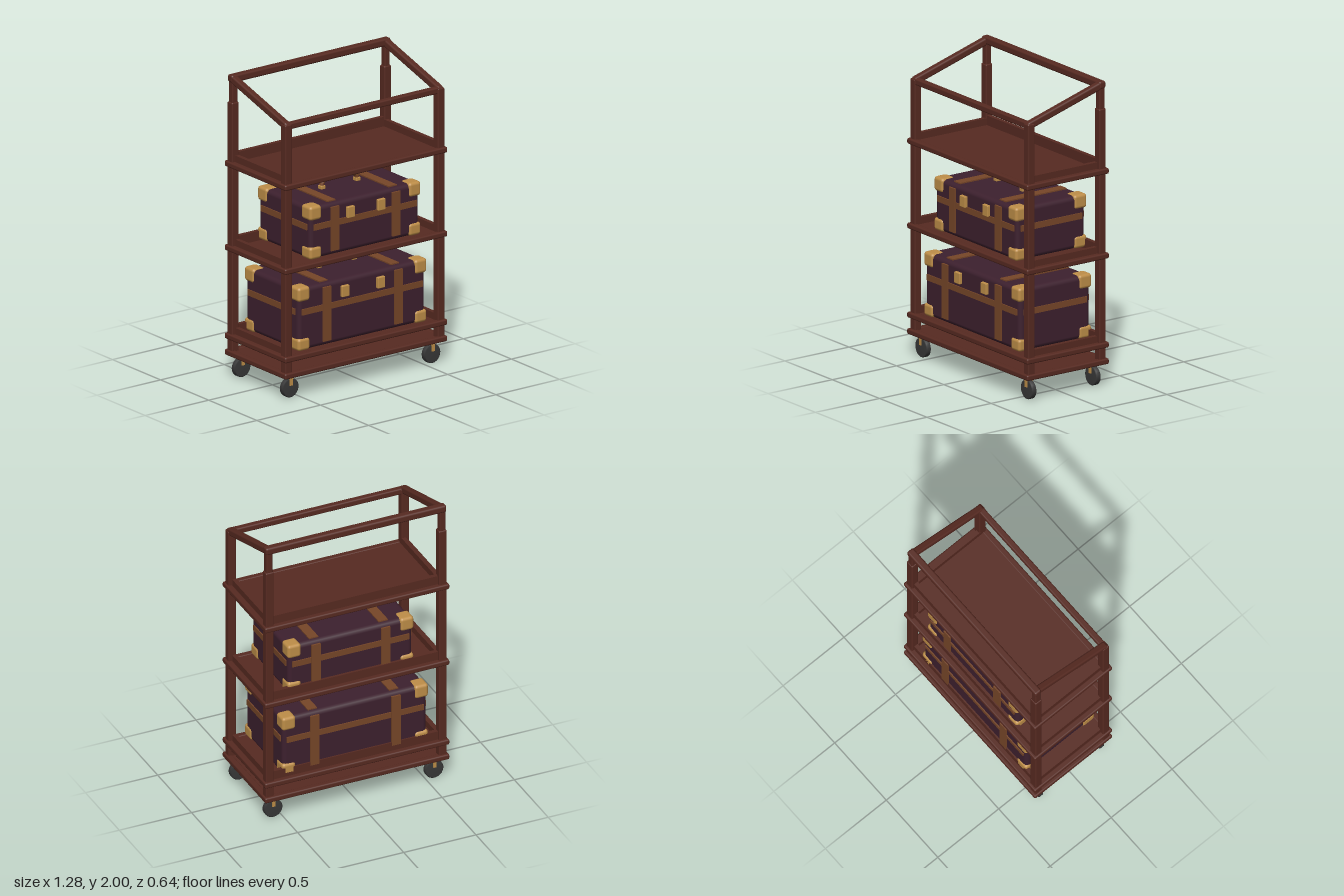
import * as THREE from 'three';
import { RoundedBoxGeometry } from 'three/addons/geometries/RoundedBoxGeometry.js';

const mat = (name, color) => {
  const m = new THREE.MeshStandardMaterial({ color });
  m.name = name;
  return m;
};

export function createModel() {
  const wood = mat('mahogany', 0x572a21);
  const hide = mat('plum leather', 0x3d202e);
  const strapMat = mat('tan strap', 0x774628);
  const brass = mat('brass', 0xbe8e48);
  const rubber = mat('rubber', 0x383838);

  const model = new THREE.Group();
  model.name = 'luggageTrolley';

  const add = (parent, name, geo, material, x = 0, y = 0, z = 0) => {
    const m = new THREE.Mesh(geo, material);
    m.name = name;
    m.position.set(x, y, z);
    parent.add(m);
    return m;
  };
  const box = (parent, name, material, w, h, d, x, y, z, r = 0) =>
    add(parent, name, r ? new RoundedBoxGeometry(w, h, d, 2, r) : new THREE.BoxGeometry(w, h, d), material, x, y, z);

  // Corner posts: short at the front, tall with a slimmer top at the back
  for (const s of [-1, 1]) {
    box(model, 'frontPost', wood, 0.054, 1.67, 0.052, s * 0.599, 0.985, 0.277, 0.008);
    box(model, 'backPost', wood, 0.054, 1.67, 0.052, s * 0.599, 0.985, -0.277, 0.008);
    box(model, 'backPostTop', wood, 0.042, 0.18, 0.042, s * 0.599, 1.89, -0.277, 0.008);
    // Sloping side rail
    const rail = box(model, 'slopingRail', wood, 0.046, 0.048, 0.605, s * 0.599, 1.891, 0, 0.012);
    rail.rotation.x = Math.atan2(0.165, 0.56);
  }
  box(model, 'topBackRail', wood, 1.25, 0.05, 0.05, 0, 1.975, -0.278, 0.013);
  box(model, 'topFrontRail', wood, 1.24, 0.042, 0.042, 0, 1.806, 0.278, 0.01);

  // Shelves: panel, edge rails and low lips at the back and sides
  const shelf = (y, lip) => {
    const g = new THREE.Group();
    g.name = 'shelf';
    g.position.y = y;
    model.add(g);
    box(g, 'panel', wood, 1.23, 0.028, 0.59, 0, 0, 0);
    for (const s of [-1, 1]) {
      box(g, 'longRail', wood, 1.276, 0.037, 0.042, 0, 0, s * 0.298, 0.01);
      box(g, 'endRail', wood, 0.042, 0.037, 0.638, s * 0.617, 0, 0, 0.01);
      if (lip) box(g, 'sideLip', wood, 0.028, 0.05, 0.52, s * 0.586, 0.034, 0);
    }
    if (lip) box(g, 'backLip', wood, 1.16, 0.07, 0.028, 0, 0.042, -0.271);
  };
  shelf(0.163, false);
  [0.271, 0.855, 1.41].forEach((y) => shelf(y, true));

  // Casters
  const wheelShape = [[0, -0.018], [0.056, -0.018], [0.063, -0.014], [0.063, 0.014], [0.056, 0.018], [0, 0.018]]
    .map(([r, y]) => new THREE.Vector2(r, y));
  for (const sx of [-1, 1]) for (const sz of [-1, 1]) {
    const c = new THREE.Group();
    c.name = 'caster';
    c.position.set(sx * 0.557, 0, sz * 0.25);
    model.add(c);
    add(c, 'wheel', new THREE.LatheGeometry(wheelShape, 20), rubber, 0, 0.064, 0).rotation.x = Math.PI / 2;
    add(c, 'swivelPlate', new THREE.CylinderGeometry(0.034, 0.034, 0.016, 16), brass, 0, 0.139, 0);
    box(c, 'forkTop', brass, 0.026, 0.012, 0.052, 0, 0.129, 0);
    for (const s of [-1, 1]) box(c, 'forkArm', brass, 0.022, 0.05, 0.006, 0, 0.106, s * 0.022);
  }

  // Suitcases: origin at the bottom centre
  const suitcase = ({ x, y, w, h, d, strapX, latchX, latchY, belt }) => {
    const g = new THREE.Group();
    g.name = 'suitcase';
    g.position.set(x, y, 0);
    model.add(g);
    box(g, 'caseBody', hide, w, h, d, 0, h / 2, 0, 0.03);
    for (const s of [-1, 1]) {
      // Belt lengths on each face, stopping short of the rounded edges
      box(g, 'longBelt', strapMat, w - 0.05, 0.04, 0.012, 0, belt, s * (d / 2 + 0.001));
      box(g, 'endBelt', strapMat, 0.012, 0.04, d - 0.06, s * (w / 2 + 0.001), belt, 0);
      // Vertical straps on the front and back, with a length across the top
      for (const t of [-1, 1])
        box(g, 'strap', strapMat, 0.062, h - 0.055, 0.016, t * strapX, h / 2 + 0.003, s * (d / 2 + 0.003));
      box(g, 'strapTop', strapMat, 0.064, 0.014, d - 0.06, s * strapX, h + 0.001, 0);
      // Latches
      box(g, 'latch', brass, 0.058, 0.074, 0.026, s * latchX, latchY, d / 2 + 0.007, 0.005);
      // Handle mounts
      box(g, 'handleMount', brass, 0.034, 0.024, 0.038, s * 0.138, h + 0.01, 0, 0.004);
    }
    // Brass corner caps
    for (const sx of [-1, 1]) for (const sz of [-1, 1]) {
      const cx = sx * (w / 2 - 0.04), cz = sz * (d / 2 - 0.04);
      box(g, 'topCorner', brass, 0.094, 0.094, 0.1, cx, h - 0.04, cz, 0.02);
      box(g, 'bottomCorner', brass, 0.094, 0.082, 0.1, cx, 0.042, cz, 0.02);
    }
    // Arched handle
    const pts = [];
    for (let i = 0; i <= 12; i++) {
      const a = Math.PI * (1 - i / 12);
      pts.push(new THREE.Vector3(Math.cos(a) * 0.138, h + 0.02 + Math.sin(a) * 0.064, 0));
    }
    add(g, 'handle', new THREE.TubeGeometry(new THREE.CatmullRomCurve3(pts), 32, 0.015, 10), strapMat);
  };
  suitcase({ x: -0.003, y: 0.293, w: 0.998, h: 0.413, d: 0.55, strapX: 0.281, latchX: 0.14, latchY: 0.334, belt: 0.256 });
  suitcase({ x: 0.025, y: 0.876, w: 0.86, h: 0.345, d: 0.535, strapX: 0.241, latchX: 0.12, latchY: 0.262, belt: 0.212 });

  return model;
}
